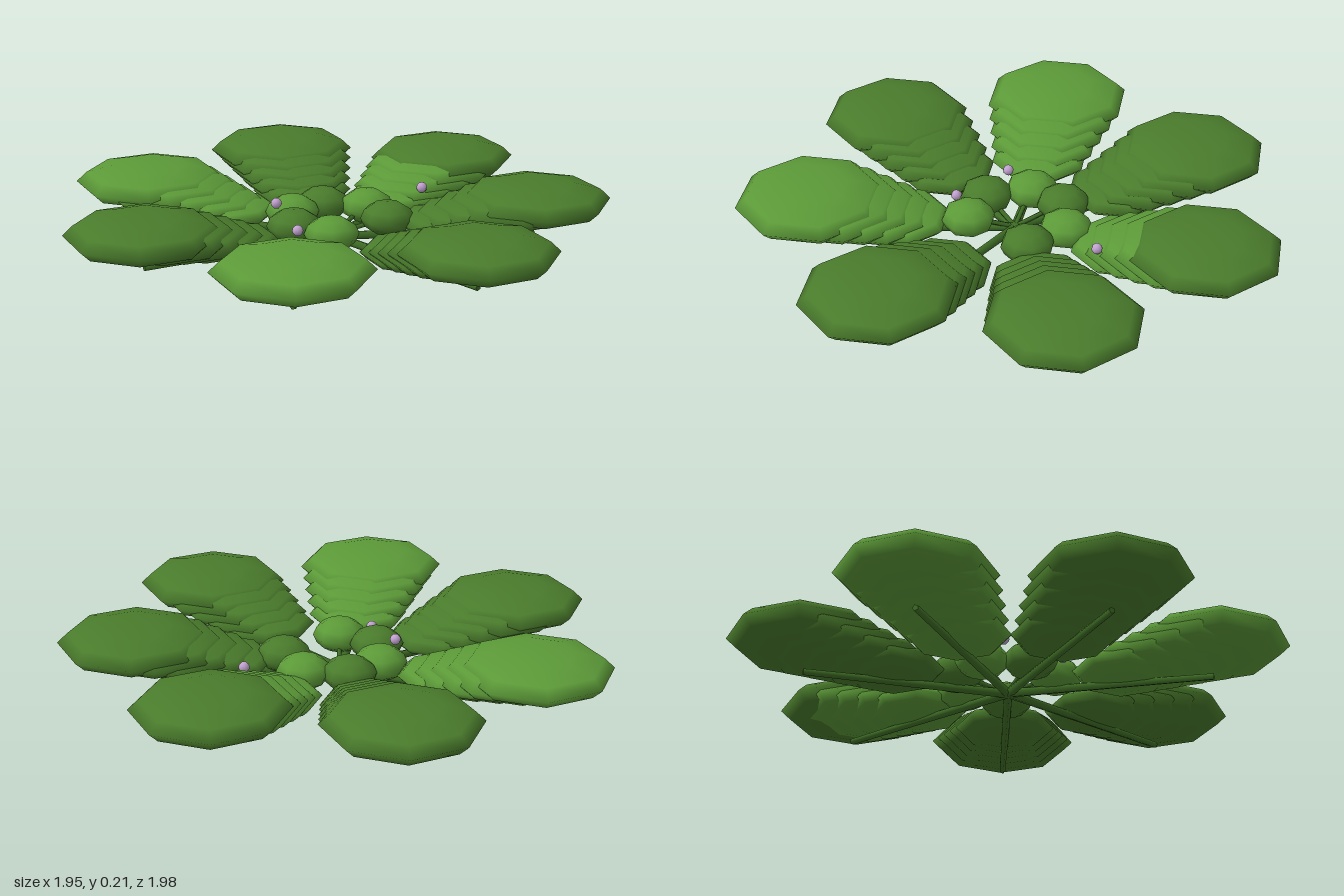
import * as THREE from 'three';

export function createModel() {
  const plant = new THREE.Group();
  plant.name = 'rosettePlant';

  const mat = (name, color) => {
    const m = new THREE.MeshStandardMaterial({ color });
    m.name = name;
    return m;
  };
  const darkLeaf = mat('dark leaf green', 0x4a7c2c);
  const lightLeaf = mat('light leaf green', 0x5c9a38);
  const stemGreen = mat('stem green', 0x3f6e26);
  const lilac = mat('lilac bud', 0xc3a3d0);

  const CX = -0.035; // rosette centre
  const REACH = 0.735; // distance to the outermost lobe
  const lobeShape = new THREE.SphereGeometry(1, 8, 6);
  const stemShape = new THREE.CylinderGeometry(0.012, 0.017, REACH, 5);
  stemShape.rotateZ(-Math.PI / 2);
  stemShape.translate(REACH / 2, 0, 0);

  const addLobe = (parent, name, material, x, y, z, r, ry) => {
    const lobe = new THREE.Mesh(lobeShape, material);
    lobe.name = name;
    lobe.position.set(x, y, z);
    lobe.scale.set(r, ry, r);
    parent.add(lobe);
  };

  // Seven fronds: a flat stem below overlapping lobes that grow outwards
  const LOBES = 5;
  const lightFronds = [3, 5];
  for (let i = 0; i < 7; i++) {
    const angle = (i / 7) * Math.PI * 2;
    const frond = new THREE.Group();
    frond.name = 'frond' + (i + 1);

    const stem = new THREE.Mesh(stemShape, stemGreen);
    stem.name = 'stem';
    stem.position.set(CX, 0.017, 0);
    stem.rotation.y = angle;
    frond.add(stem);

    for (let k = 0; k < LOBES; k++) {
      const t = k / (LOBES - 1);
      const d = THREE.MathUtils.lerp(0.42, REACH, t);
      const r = THREE.MathUtils.lerp(0.185, 0.275, t);
      const y = THREE.MathUtils.lerp(0.064, 0.14, t);
      const light = lightFronds.includes(i) || (i === 1 && k < LOBES - 1);
      addLobe(frond, 'leafLobe', light ? lightLeaf : darkLeaf,
        CX + Math.cos(angle) * d, y, -Math.sin(angle) * d, r, r * 0.255);
    }
    plant.add(frond);
  }

  // Small rounded leaves around the heart: x, z, light or dark
  const heart = new THREE.Group();
  heart.name = 'heartLeaves';
  [
    [0.165, 0, darkLeaf], [0.1, -0.155, lightLeaf], [-0.06, -0.185, darkLeaf],
    [-0.175, -0.095, lightLeaf], [-0.175, 0.075, darkLeaf], [-0.045, 0.17, lightLeaf],
  ].forEach(([x, z, m]) => addLobe(heart, 'heartLeaf', m, x, 0.08, z, 0.098, 0.062));

  // Short stalks from the centre to the heart leaves
  heart.children.slice().forEach((leaf) => {
    const from = new THREE.Vector3(CX, 0.02, 0);
    const path = new THREE.LineCurve3(from, leaf.position.clone());
    const stalk = new THREE.Mesh(new THREE.TubeGeometry(path, 1, 0.009, 5), stemGreen);
    stalk.name = 'heartStalk';
    heart.add(stalk);
  });
  plant.add(heart);

  // Tiny buds
  [[0.31, 0.125, -0.215], [-0.235, 0.135, -0.02], [-0.165, 0.1, 0.19]].forEach(([x, y, z]) =>
    addLobe(plant, 'bud', lilac, x, y, z, 0.02, 0.02));

  return plant;
}
